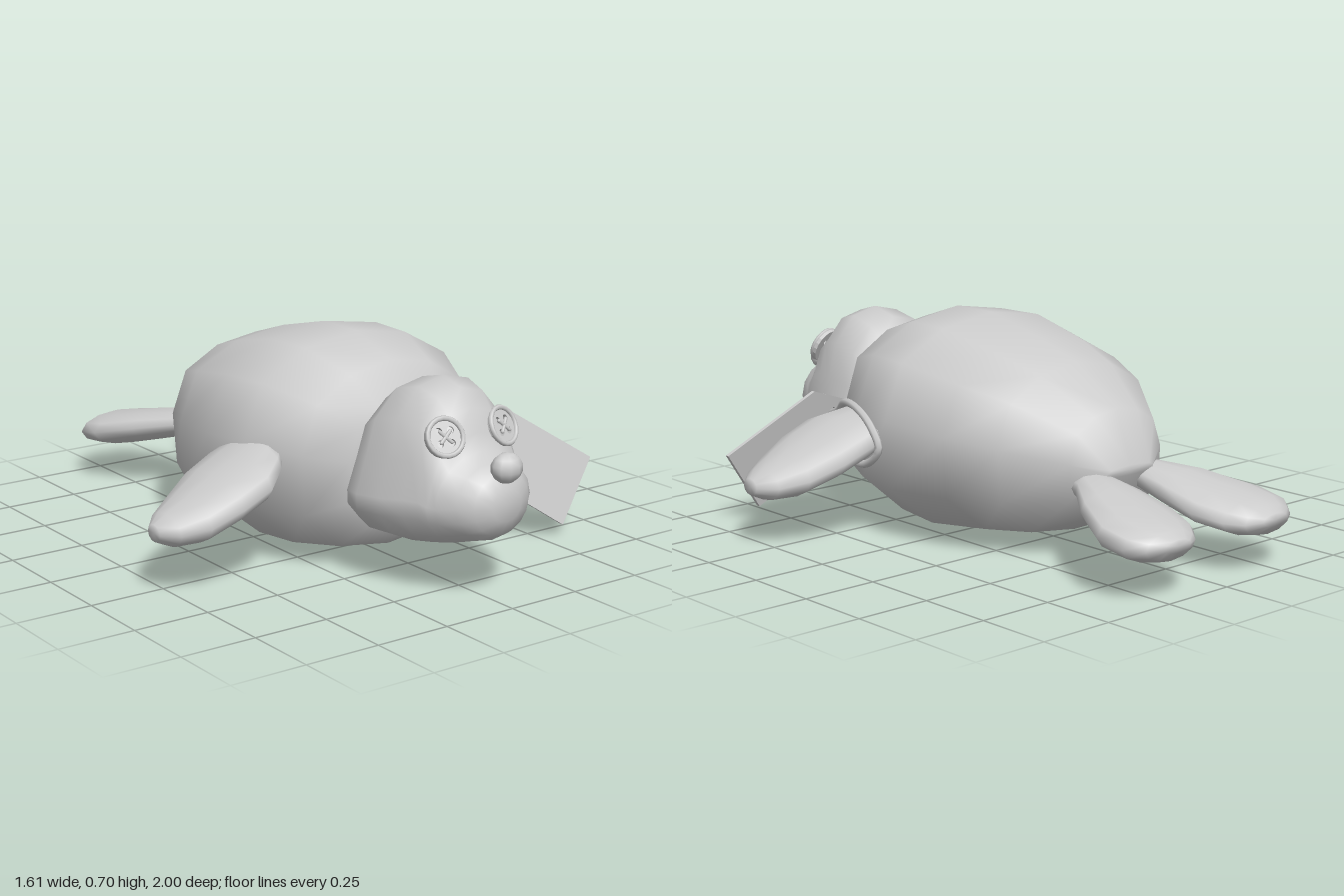
import * as THREE from 'three';

const material = new THREE.MeshStandardMaterial({ color: 0xcccccc });

function add(parent, name, geometry) {
  const mesh = new THREE.Mesh(geometry, material);
  mesh.name = name;
  parent.add(mesh);
  return mesh;
}

// Closed skin over rings of points, with a centre point capping each end
function loft(rings) {
  const n = rings[0].length, flat = rings.flat(), index = [];
  const centre = (r) => r.reduce((s, p) => s.add(p), new THREE.Vector3()).divideScalar(n);
  for (let i = 0; i < rings.length - 1; i++) {
    for (let j = 0; j < n; j++) {
      const a = i * n + j, b = i * n + (j + 1) % n;
      index.push(a, b, a + n, b, b + n, a + n);
    }
  }
  const first = flat.length, last = first + 1, base = (rings.length - 1) * n;
  const points = [...flat, centre(rings[0]), centre(rings[rings.length - 1])];
  for (let j = 0; j < n; j++) {
    const k = (j + 1) % n;
    index.push(first, k, j, last, base + j, base + k);
  }
  // Turn all faces outwards
  let volume = 0;
  const mid = centre(rings[0]), v = [0, 1, 2].map(() => new THREE.Vector3());
  for (let i = 0; i < index.length; i += 3) {
    v.forEach((p, k) => p.copy(points[index[i + k]]).sub(mid));
    volume += v[0].dot(v[1].cross(v[2]));
  }
  if (volume < 0) index.reverse();
  const geometry = new THREE.BufferGeometry().setFromPoints(points);
  geometry.setIndex(index);
  geometry.computeVertexNormals();
  return geometry;
}

// Mirrors a half outline, running from top to bottom, into a full one
const fullOutline = (half) =>
  [...half, ...half.slice(1, -1).reverse().map(([x, y]) => [-x, y])];

const circle = (n) => Array.from({ length: n }, (_, i) => {
  const a = i / n * Math.PI * 2;
  return [Math.sin(a), Math.cos(a)];
});

function makeButton() {
  const button = new THREE.Group();
  const disc = new THREE.Shape().absarc(0, 0, 0.062, 0, Math.PI * 2, false);
  const spots = [[1, 1], [-1, 1], [-1, -1], [1, -1]].map(([x, y]) => [x * 0.019, y * 0.019]);
  for (const [x, y] of spots) {
    disc.holes.push(new THREE.Path().absarc(x, y, 0.011, 0, Math.PI * 2, true));
  }
  add(button, 'buttonDisc', new THREE.ExtrudeGeometry(disc, {
    depth: 0.018, bevelEnabled: false, curveSegments: 10 }));
  add(button, 'buttonRim', new THREE.TorusGeometry(0.057, 0.008, 6, 20)).position.z = 0.018;
  // Crossed thread
  for (const angle of [Math.PI / 4, -Math.PI / 4]) {
    const stitch = add(button, 'stitch', new THREE.CapsuleGeometry(0.006, 0.048, 3, 6));
    stitch.rotation.z = angle;
    stitch.position.z = 0.02;
  }
  return button;
}

export function createModel() {
  const model = new THREE.Group();
  model.name = 'plushSeal';

  // Body: z, top, bottom, half width
  const bodyOutline = fullOutline([
    [0, 1], [0.46, 0.91], [0.84, 0.65], [1, 0.14], [0.96, -0.5], [0.57, -0.91], [0, -1]]);
  const bodyRings = [
    [0.5, 0.54, 0.14, 0.23], [0.4, 0.64, 0.04, 0.34], [0.22, 0.7, 0.01, 0.43],
    [0.05, 0.7, 0, 0.455], [-0.18, 0.645, 0.025, 0.41], [-0.35, 0.59, 0.045, 0.335],
    [-0.53, 0.47, 0.12, 0.2], [-0.595, 0.3, 0.27, 0.1],
  ].map(([z, top, bottom, w]) => bodyOutline.map(([x, y]) =>
    new THREE.Vector3(x * w, (top + bottom) / 2 + y * (top - bottom) / 2, z)));
  add(model, 'body', loft(bodyRings));

  // Head: z, top, bottom, half width, roundness; pear shaped behind, round at the muzzle
  const headOutline = fullOutline([
    [0, 1], [0.4, 0.91], [0.72, 0.57], [0.85, 0.12], [1, -0.35],
    [0.99, -0.56], [0.8, -0.82], [0.46, -0.96], [0, -1]]);
  const round = circle(16);
  const headRings = [
    [0.46, 0.5, 0.2, 0.2, 0], [0.5, 0.57, 0.15, 0.24, 0], [0.56, 0.62, 0.13, 0.25, 0],
    [0.66, 0.645, 0.132, 0.24, 0], [0.74, 0.622, 0.145, 0.215, 0.1],
    [0.79, 0.57, 0.155, 0.2, 0.3], [0.82, 0.5, 0.162, 0.187, 0.5],
    [0.845, 0.45, 0.17, 0.177, 0.8], [0.9, 0.43, 0.187, 0.145, 1],
    [0.94, 0.405, 0.212, 0.105, 1], [0.965, 0.36, 0.26, 0.055, 1],
  ].map(([z, top, bottom, w, r]) => headOutline.map(([x, y], i) => new THREE.Vector3(
    THREE.MathUtils.lerp(x, round[i][0], r) * w,
    (top + bottom) / 2 + THREE.MathUtils.lerp(y, round[i][1], r) * (top - bottom) / 2, z)));
  add(model, 'head', loft(headRings));

  // Nose
  const nose = add(model, 'nose', new THREE.SphereGeometry(1, 10, 7));
  nose.scale.set(0.053, 0.047, 0.042);
  nose.position.set(0, 0.425, 0.958);

  for (const side of [1, -1]) {
    const prefix = side > 0 ? 'left' : 'right';

    // Button eye
    const eye = makeButton();
    eye.name = prefix + 'ButtonEye';
    eye.position.set(side * 0.108, 0.495, 0.795);
    eye.lookAt(side * (0.108 + 0.22), 0.495 + 0.42, 0.795 + 0.88);
    model.add(eye);

    // Front flipper: x, z, half depth, y, half thickness
    add(model, prefix + 'FrontFlipper', loft([
      [0.34, 0.2, 0.1, 0.365, 0.045], [0.4, 0.23, 0.15, 0.35, 0.06],
      [0.48, 0.262, 0.185, 0.315, 0.068], [0.58, 0.272, 0.178, 0.27, 0.07],
      [0.68, 0.285, 0.14, 0.222, 0.068], [0.76, 0.29, 0.09, 0.202, 0.05],
      [0.805, 0.295, 0.035, 0.2, 0.027],
    ].map(([x, z, d, y, t]) => circle(12).map(([u, v]) =>
      new THREE.Vector3(side * x, y + v * t, z + u * d)))));

    // Rear flipper: z, x, half width, y, half thickness
    add(model, prefix + 'RearFlipper', loft([
      [-0.5, 0.12, 0.06, 0.25, 0.035], [-0.56, 0.125, 0.08, 0.245, 0.045],
      [-0.68, 0.165, 0.135, 0.22, 0.055], [-0.82, 0.2, 0.172, 0.185, 0.06],
      [-0.92, 0.215, 0.152, 0.167, 0.058], [-0.97, 0.215, 0.105, 0.162, 0.045],
      [-1, 0.215, 0.055, 0.168, 0.02],
    ].map(([z, x, w, y, t]) => circle(12).map(([u, v]) =>
      new THREE.Vector3(side * (x + u * w), y + v * t, z)))));
  }

  // Paper tag with a five-sided hole, leaned back along a slanted plane
  const tagShape = new THREE.Shape([
    [0.28, 0.245], [0.575, 0.04], [0.715, 0.24], [0.425, 0.43], [0.28, 0.38],
  ].map(([x, y]) => new THREE.Vector2(x, y)));
  tagShape.holes.push(new THREE.Path(circle(5).map(([u, v]) =>
    new THREE.Vector2(0.345 + u * 0.024, 0.342 + v * 0.024))));
  const tag = new THREE.ExtrudeGeometry(tagShape, { depth: 0.015, bevelEnabled: false });
  const p = tag.attributes.position;
  for (let i = 0; i < p.count; i++) {
    p.setZ(i, p.getZ(i) + 0.498 + 0.147 * p.getX(i) - 0.25 * p.getY(i));
  }
  tag.computeVertexNormals();
  add(model, 'tag', tag);

  // Cord through the tag and around the left flipper
  const cord = new THREE.CatmullRomCurve3([
    [0.345, 0.335, 0.475], [0.36, 0.365, 0.41], [0.41, 0.415, 0.31], [0.45, 0.415, 0.19],
    [0.47, 0.375, 0.1], [0.47, 0.31, 0.062], [0.465, 0.25, 0.13], [0.445, 0.245, 0.26],
    [0.4, 0.26, 0.38], [0.36, 0.305, 0.45],
  ].map((c) => new THREE.Vector3(...c)), true);
  add(model, 'tagCord', new THREE.TubeGeometry(cord, 48, 0.013, 6, true));

  return model;
}
